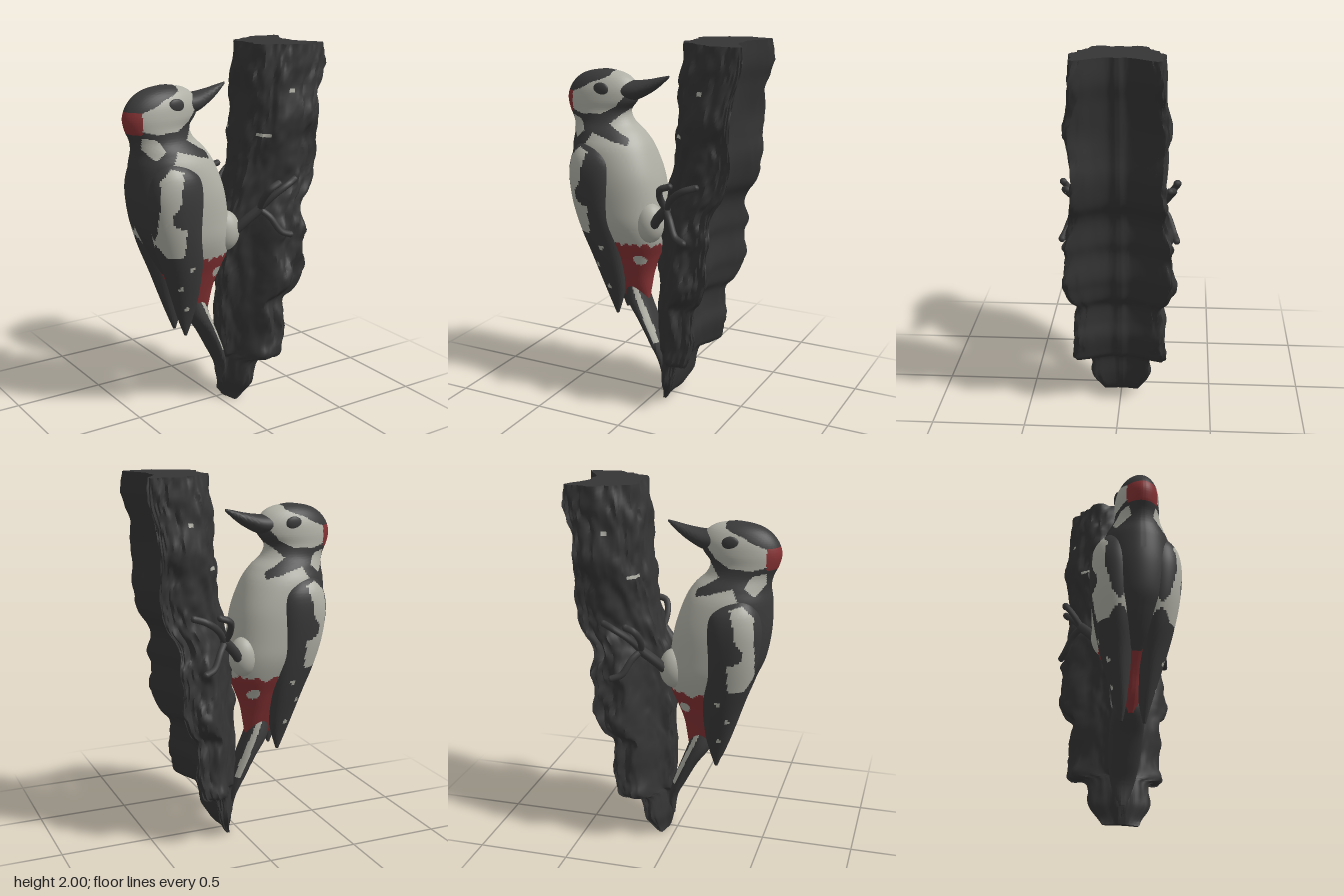
import * as THREE from 'three';
import { toCreasedNormals } from 'three/addons/utils/BufferGeometryUtils.js';

const flat = (name, color) => {
  const m = new THREE.MeshStandardMaterial({ color });
  m.name = name;
  return m;
};
const black = flat('black feathers', 0x3a3a3b);
const white = flat('pale feathers', 0xb0b0a6);
const red = flat('red feathers', 0x863234);
const bark = flat('dark bark', 0x353536);

// Point-in-polygon test on a side-view outline [x, y], ...
function inside(poly, x, y) {
  let hit = false;
  for (let i = 0, j = poly.length - 1; i < poly.length; j = i++) {
    const [xi, yi] = poly[i], [xj, yj] = poly[j];
    if (yi > y !== yj > y && x < ((xj - xi) * (y - yi)) / (yj - yi) + xi) hit = !hit;
  }
  return hit;
}

// Smooth seeded value noise, 0..1
const hash = (i, j) => {
  const s = Math.sin(i * 127.1 + j * 311.7) * 43758.5453;
  return s - Math.floor(s);
};
function noise(x, y) {
  const i = Math.floor(x), j = Math.floor(y);
  const f = (x - i) ** 2 * (3 - 2 * (x - i)), g = (y - j) ** 2 * (3 - 2 * (y - j));
  const a = hash(i, j) * (1 - f) + hash(i + 1, j) * f;
  const b = hash(i, j + 1) * (1 - f) + hash(i + 1, j + 1) * f;
  return a * (1 - g) + b * g;
}

const { smoothstep } = THREE.MathUtils;

// Cross-sections: a plain ellipse, and one whose +x half is squarer (e below 1)
const ellipse = (a) => [Math.cos(a), Math.sin(a)];
function squareFront(a, e) {
  const [c, s] = ellipse(a);
  return c > 0 ? [c ** e, Math.sign(s) * Math.abs(s) ** e] : [c, s];
}

// Closed loft through rows [t, low, high, halfWidth, centreZ]; t runs along y, or along x
// when alongX is set. pick(x, y, z) chooses the material of each quad.
function loft(name, rows, n, m, { section = ellipse, alongX = false, mats = [black], pick = () => 0, bump = () => 1, crease = 1 } = {}) {
  const curves = [0, 1, 2, 3, 4].map((c) => new THREE.SplineCurve(rows.map((r) => new THREE.Vector2(r[c] || 0, 0))));
  const pos = [];
  for (let i = -1; i <= n + 1; i++) {
    const u = Math.min(Math.max(i / n, 0), 1);
    const [t, lo, hi, w, zc] = curves.map((c) => c.getPoint(u).x);
    for (let j = 0; j < m; j++) {
      const a = (j / m) * Math.PI * 2;
      const [p, q] = section(a, t);
      const k = i < 0 || i > n ? 0 : bump(a, t);
      const s = (lo + hi) / 2 + ((hi - lo) / 2) * p * k;
      const z = w * q * k;
      if (alongX) pos.push(t, s, zc - z);
      else pos.push(s, t, zc + z);
    }
  }
  const lists = mats.map(() => []);
  for (let i = 0; i < n + 2; i++) {
    for (let j = 0; j < m; j++) {
      const a = i * m + j, d = i * m + ((j + 1) % m), b = a + m, c = d + m;
      const mid = [0, 1, 2].map((e) => (pos[a * 3 + e] + pos[b * 3 + e] + pos[c * 3 + e] + pos[d * 3 + e]) / 4);
      lists[pick(...mid)].push(a, b, d, b, c, d);
    }
  }
  const g = new THREE.BufferGeometry();
  g.setAttribute('position', new THREE.Float32BufferAttribute(pos, 3));
  g.setIndex(lists.flat());
  let start = 0;
  lists.forEach((l, i) => {
    g.addGroup(start, l.length, i);
    start += l.length;
  });
  const mesh = new THREE.Mesh(toCreasedNormals(g, crease), mats);
  mesh.name = name;
  return mesh;
}

function trunk() {
  // Rounded bark on the bird's side, split hollow face with a faint ridge on the far side
  const half = [[0.57, 0], [0.52, 0.2], [0.68, 0.48], [0.92, 0.75], [1, 0.92], [0.7, 0.95], [0.2, 1], [-0.35, 0.92], [-0.7, 0.75], [-1, 0.45], [-1.02, 0]];
  const ring = [...half, ...half.slice(1, -1).reverse().map(([x, z]) => [x, -z])];
  const curve = new THREE.CatmullRomCurve3(ring.map(([x, z]) => new THREE.Vector3(x, 0, z)), true, 'catmullrom');
  // The bark side narrows to a wedge further down
  const section = (a, y) => {
    const p = curve.getPoint(a / (Math.PI * 2));
    const wedge = 0.6 * (1 - smoothstep(y, 0.8, 1.7)) * smoothstep(-p.x, -0.3, 0.9);
    return [p.x, p.z * (1 - wedge)];
  };
  const bump = (a, y) => {
    const s = Math.min(a, Math.PI * 2 - a);
    const rough = smoothstep(s, 0.5, 1.2) * 0.8 + 0.2;
    const n = noise(s * 4, y * 8) * 0.5 + noise(s * 9 + 7, y * 10) * 0.4 + noise(s * 20, y * 20 + 3) * 0.25;
    return 1 + (n - 0.57) * 0.26 * rough;
  };
  const rows = [
    [0, 0.045, 0.08, 0.095], [0.04, 0.035, 0.11, 0.115], [0.12, 0.02, 0.145, 0.155], [0.24, 0.025, 0.17, 0.16],
    [0.275, 0.025, 0.255, 0.235], [0.33, 0.025, 0.285, 0.25], [0.42, 0.025, 0.31, 0.25], [0.51, 0.02, 0.3, 0.245], [0.6, 0.015, 0.305, 0.24],
    [0.66, 0.018, 0.35, 0.275], [0.73, 0.025, 0.37, 0.285], [0.8, 0.03, 0.385, 0.285], [0.92, 0.038, 0.375, 0.27], [1, 0.045, 0.395, 0.28],
    [1.1, 0.062, 0.395, 0.265], [1.16, 0.08, 0.41, 0.255], [1.23, 0.1, 0.455, 0.255], [1.32, 0.12, 0.48, 0.245], [1.4, 0.13, 0.49, 0.24],
    [1.5, 0.14, 0.485, 0.245], [1.62, 0.155, 0.49, 0.26], [1.77, 0.17, 0.51, 0.24], [1.88, 0.183, 0.54, 0.235], [2, 0.2, 0.54, 0.222],
  ];
  const pick = (x, y, z) => {
    const chip = y > 1.51 && y < 1.535 && x > 0.17 && x < 0.25 && noise(x * 90, y * 90) > 0.3;
    return Math.abs(z) > 0.05 && (chip || Math.hypot(x - 0.33, y - 1.765) < 0.016) ? 1 : 0;
  };
  return loft('trunk', rows, 150, 130, { section, bump, pick, mats: [bark, white], crease: 0.9 });
}

function bodyAndHead() {
  const collar = [[-0.12, 1.72], [-0.17, 1.7], [-0.22, 1.635], [-0.3, 1.59], [-0.42, 1.585], [-0.49, 1.6], [-0.6, 1.6], [-0.6, 0.4], [-0.3, 0.4], [-0.36, 1], [-0.42, 1.2], [-0.42, 1.38], [-0.36, 1.44], [-0.33, 1.495], [-0.2, 1.455], [-0.13, 1.435], [-0.13, 1.465], [-0.25, 1.54], [-0.2, 1.59], [-0.14, 1.645]];
  const neckPatch = [[-0.49, 1.57], [-0.42, 1.555], [-0.39, 1.5], [-0.44, 1.45], [-0.49, 1.51]];
  const crown = [[-0.6, 1.7], [-0.49, 1.695], [-0.44, 1.715], [-0.36, 1.755], [-0.3, 1.775], [-0.27, 1.79], [-0.26, 1.9], [-0.6, 1.9]];
  const pick = (x, y, z) => {
    if (x < -0.49 && y > 1.585 && y < 1.695) return 2;
    if (inside(crown, x, y)) return 0;
    if (inside(collar, x, y) && !inside(neckPatch, x, y)) return 0;
    if (Math.hypot(x + 0.07, y - 0.8) < 0.032) return 1;
    return y < 0.87 + 0.05 * noise(x * 40, z * 40) ? 2 : 1;
  };
  // Full, slightly square breast passing into a round neck and head
  const section = (a, y) => squareFront(a, 0.8 + 0.2 * smoothstep(y, 1.25, 1.5));
  const rows = [
    [0.52, -0.2, -0.07, 0.02], [0.6, -0.25, -0.06, 0.06], [0.7, -0.29, -0.045, 0.095], [0.8, -0.34, -0.01, 0.13],
    [0.9, -0.4, 0.03, 0.17], [1, -0.45, 0.035, 0.2], [1.1, -0.49, 0.025, 0.21], [1.25, -0.515, 0, 0.212],
    [1.4, -0.515, -0.05, 0.195], [1.48, -0.505, -0.1, 0.16], [1.54, -0.515, -0.16, 0.125], [1.6, -0.543, -0.18, 0.115],
    [1.66, -0.555, -0.14, 0.115], [1.72, -0.535, -0.135, 0.107], [1.77, -0.49, -0.165, 0.085], [1.8, -0.43, -0.215, 0.055], [1.815, -0.35, -0.29, 0.02],
  ];
  return loft('bodyAndHead', rows, 170, 130, { section, pick, mats: [black, white, red] });
}

function wing(side) {
  const patch = [[-0.45, 1.36], [-0.39, 1.42], [-0.33, 1.4], [-0.36, 1.3], [-0.365, 1.24], [-0.4, 1.19], [-0.4, 1.13], [-0.33, 1.1], [-0.32, 1.02], [-0.33, 0.95], [-0.4, 0.94], [-0.45, 1.02], [-0.46, 1.15]];
  const spots = [[-0.27, 0.87], [-0.26, 0.62], [-0.31, 0.75]];
  const pick = (x, y, z) => (z * side > 0.06 && (inside(patch, x, y) || spots.some(([sx, sy]) => Math.hypot(x - sx, y - sy) < 0.014)) ? 1 : 0);
  const rows = [
    [0.45, -0.245, -0.23, 0.008, 0.06], [0.55, -0.285, -0.2, 0.03, 0.065], [0.65, -0.32, -0.18, 0.05, 0.075], [0.8, -0.37, -0.17, 0.08, 0.09],
    [0.95, -0.425, -0.17, 0.102, 0.105], [1.1, -0.465, -0.185, 0.118, 0.115], [1.25, -0.483, -0.185, 0.126, 0.118], [1.35, -0.47, -0.2, 0.115, 0.118], [1.41, -0.44, -0.25, 0.085, 0.115], [1.45, -0.4, -0.31, 0.04, 0.11],
  ].map(([y, b, f, w, z]) => [y, b, f, w, z * side]);
  return loft(side > 0 ? 'frontWing' : 'backWing', rows, 100, 72, { section: (a) => squareFront(a, 0.75), pick, mats: [black, white] });
}

function tail() {
  // Stiff prop tail with pale outer edges
  const pick = (x, y, z) => {
    const edge = -0.14 + (0.64 - y) * 0.44;
    return y > 0.31 && y < 0.64 && Math.abs(z) > 0.045 && x > edge - 0.01 && x < edge + 0.016 ? 1 : 0;
  };
  const rows = [[0.09, 0.015, 0.045, 0.02], [0.2, 0, 0.045, 0.06], [0.3, -0.05, 0.025, 0.08], [0.42, -0.115, -0.02, 0.09], [0.54, -0.195, -0.065, 0.085], [0.66, -0.2, -0.1, 0.06]];
  return loft('tail', rows, 60, 64, { pick, mats: [black, white] });
}

function tube(name, pts, r, material) {
  const path = new THREE.CatmullRomCurve3(pts.map((p) => new THREE.Vector3(...p)));
  const mesh = new THREE.Mesh(new THREE.TubeGeometry(path, 14, r, 8), material);
  mesh.name = name;
  const tip = new THREE.Mesh(new THREE.SphereGeometry(r, 8, 6), material);
  tip.name = name + 'Tip';
  tip.position.set(...pts[pts.length - 1]);
  mesh.add(tip);
  return mesh;
}

function ball(name, pos, scale, material) {
  const mesh = new THREE.Mesh(new THREE.SphereGeometry(1, 24, 16), material);
  mesh.name = name;
  mesh.position.set(...pos);
  mesh.scale.set(...scale);
  return mesh;
}

function legAndFoot(side) {
  const leg = new THREE.Group();
  leg.name = side > 0 ? 'frontLeg' : 'backLeg';
  const at = (pts) => pts.map(([x, y, z]) => [x, y, z * side]);
  leg.add(ball('thigh', [-0.01, 1.02, 0.105 * side], [0.08, 0.11, 0.075], white));
  leg.add(tube('shank', at([[0.03, 1.02, 0.14], [0.07, 1.07, 0.17], [0.14, 1.14, 0.21]]), 0.027, black));
  const toes = [
    [[0.14, 1.14, 0.21], [0.13, 1.21, 0.26], [0.15, 1.27, 0.3], [0.2, 1.29, 0.295]],
    [[0.14, 1.14, 0.21], [0.2, 1.22, 0.26], [0.27, 1.27, 0.28], [0.33, 1.29, 0.26]],
    [[0.14, 1.14, 0.21], [0.18, 1.1, 0.25], [0.23, 1.02, 0.285], [0.28, 1, 0.3]],
  ];
  toes.forEach((t) => leg.add(tube('toe', at(t), 0.018, black)));
  return leg;
}

export function createModel() {
  const model = new THREE.Group();
  model.name = 'birdOnTrunk';
  model.add(trunk(), bodyAndHead(), tail());
  model.add(loft('bill', [[-0.22, 1.65, 1.765, 0.08], [-0.14, 1.662, 1.766, 0.073], [-0.06, 1.702, 1.778, 0.048], [0, 1.745, 1.792, 0.027], [0.05, 1.79, 1.803, 0.005]], 30, 32, { alongX: true }));
  for (const side of [1, -1]) {
    model.add(wing(side), legAndFoot(side));
    model.add(ball('eye', [-0.305, 1.72, 0.1 * side], [0.046, 0.036, 0.014], black));
  }
  return model;
}
